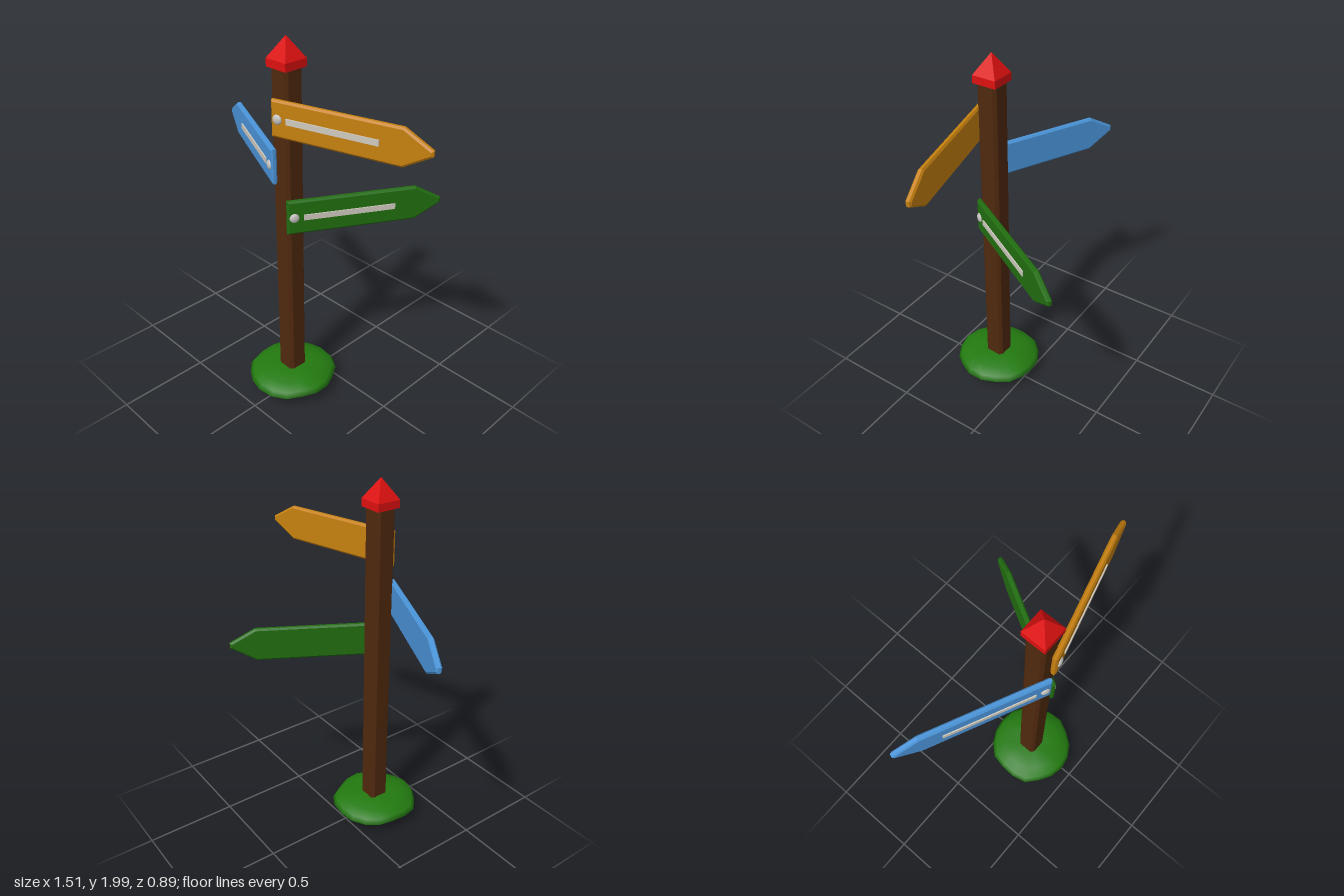
import * as THREE from 'three';
import { mergeVertices } from 'three/addons/utils/BufferGeometryUtils.js';

const material = (name, color) => new THREE.MeshStandardMaterial({ name, color });

const POST_X = -0.018, POST_Z = 0.197;

function part(name, geometry, mat, x = 0, y = 0, z = 0) {
  const mesh = new THREE.Mesh(geometry, mat);
  mesh.name = name;
  mesh.position.set(x, y, z);
  return mesh;
}

const shapeFrom = (points) => new THREE.Shape(points.map(([x, y]) => new THREE.Vector2(x, y)));

// Arrow board with bevelled edges, a pale lettering strip and a bolt; side is +1 or -1
function arrowSign(name, mat, stripMat, boltMat, side, x, y, z, degrees) {
  const sign = new THREE.Group();
  sign.name = name;
  const bevel = 0.01, h = 0.0925 - bevel;
  const points = [[bevel, -h], [0.667, -h], [0.798, -0.008], [0.798, 0.008], [0.667, h], [bevel, h]]
    .map(([px, py]) => [px * side, py]);
  const board = new THREE.ExtrudeGeometry(shapeFrom(points), {
    depth: 0.014, bevelEnabled: true, bevelThickness: 0.008, bevelSize: bevel, bevelSegments: 1,
  });
  board.translate(0, 0, -0.007);
  const bolt = new THREE.SphereGeometry(0.025, 16, 10);
  bolt.scale(1, 1, 0.5);
  sign.add(
    part('board', board, mat),
    part('strip', new THREE.BoxGeometry(0.475, 0.03, 0.008), stripMat, side * 0.322, 0, 0.017),
    part('bolt', bolt, boltMat, side * 0.036, 0, 0.015),
  );
  sign.position.set(x, y, z);
  sign.rotation.y = THREE.MathUtils.degToRad(degrees);
  return sign;
}

// Lumpy flattened mound, rounded above and below
function moundGeometry() {
  const profile = [[0, 0.006], [0.09, 0.011], [0.16, 0.026], [0.212, 0.047], [0.24, 0.073],
    [0.222, 0.098], [0.17, 0.12], [0.1, 0.132], [0, 0.135]]
    .map(([r, y]) => new THREE.Vector2(r, y));
  const geometry = new THREE.LatheGeometry(profile, 18);
  const pos = geometry.attributes.position;
  for (let i = 0; i < pos.count; i++) {
    const x = pos.getX(i), y = pos.getY(i), z = pos.getZ(i);
    const a = Math.atan2(z, x), r = Math.hypot(x, z);
    const lump = 1 + 0.018 * Math.sin(5 * a + 1) + 0.014 * Math.cos(7 * a);
    pos.setXYZ(i, x * lump, y + 0.022 * r * Math.sin(4 * a + 0.6), z * lump * 1.02);
  }
  geometry.deleteAttribute('uv');
  geometry.deleteAttribute('normal');
  const welded = mergeVertices(geometry, 1e-4);
  welded.computeVertexNormals();
  return welded;
}

// Square post with chamfered corners and a slightly bevelled top
function postGeometry() {
  const w = 0.049, c = 0.037;
  const outline = shapeFrom([[w, -c], [w, c], [c, w], [-c, w], [-w, c], [-w, -c], [-c, -w], [c, -w]]);
  const geometry = new THREE.ExtrudeGeometry(outline, {
    depth: 1.77, bevelEnabled: true, bevelThickness: 0.007, bevelSize: 0.007, bevelSegments: 1,
  });
  return geometry.rotateX(-Math.PI / 2);
}

export function createModel() {
  const wood = material('dark wood', 0x50290e);
  const red = material('red cap', 0xde1010);
  const orange = material('orange paint', 0xc6800f);
  const blue = material('blue paint', 0x4a94d8);
  const green = material('green paint', 0x216d10);
  const grass = material('grass', 0x237a10);
  const pale = material('pale strip', 0xcfcabf);
  const metal = material('bolt metal', 0xc4c2be);

  const model = new THREE.Group();
  model.name = 'signpost';
  model.add(
    part('mound', moundGeometry(), grass, POST_X, 0, POST_Z + 0.003),
    part('post', postGeometry(), wood, POST_X, 0.085, POST_Z),
  );

  // Cap: square collar under a four-sided point
  const cap = new THREE.Group();
  cap.name = 'cap';
  const point = new THREE.ConeGeometry(0.066 * Math.SQRT2, 0.105, 4, 1, true).toNonIndexed();
  point.rotateY(Math.PI / 4);
  point.computeVertexNormals();
  cap.add(
    part('collar', new THREE.BoxGeometry(0.132, 0.04, 0.132), red, 0, 1.875, 0),
    part('point', point, red, 0, 1.9475, 0),
  );
  cap.position.set(POST_X, 0, POST_Z);
  model.add(cap);

  model.add(
    arrowSign('orangeSign', orange, pale, metal, 1, -0.03, 1.628, 0.28, 15),
    arrowSign('blueSign', blue, pale, metal, -1, -0.026, 1.373, 0.28, -25),
    arrowSign('greenSign', green, pale, metal, 1, 0.033, 1.11, 0.2625, 60),
  );
  return model;
}
